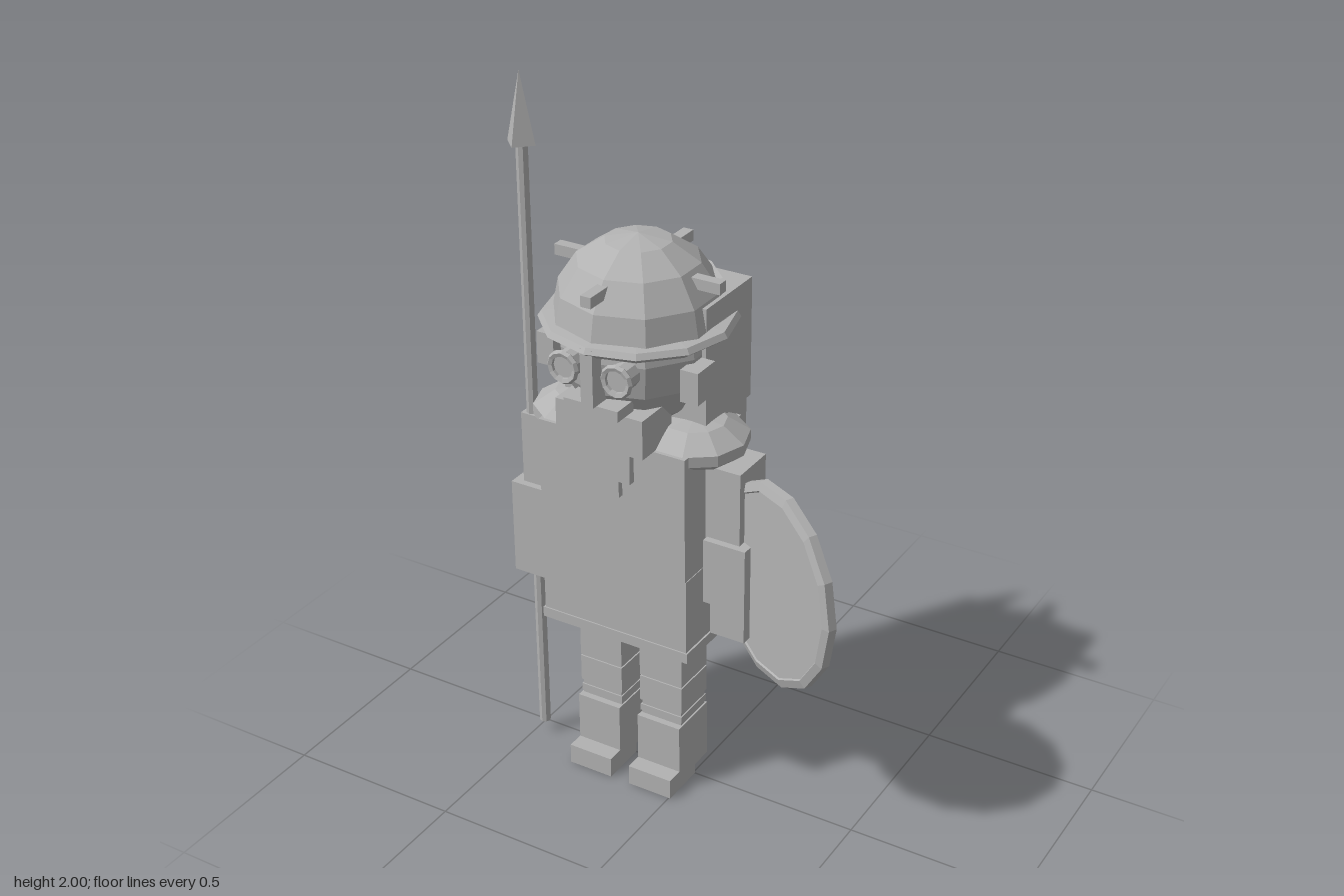
import * as THREE from 'three';

const grey = new THREE.MeshStandardMaterial({ color: 0xb2b2b2, flatShading: true });
grey.name = 'stone grey';

export function createModel() {
  const model = new THREE.Group();
  model.name = 'spearGuard';
  const body = new THREE.Group();
  body.name = 'figure';
  body.position.x = -0.16;
  model.add(body);

  const add = (name, geo, x = 0, y = 0, z = 0) => {
    const m = new THREE.Mesh(geo, grey);
    m.name = name;
    m.position.set(x, y, z);
    body.add(m);
    return m;
  };
  // box given by its limits on each axis
  const box = (name, x0, x1, y0, y1, z0, z1) =>
    add(name, new THREE.BoxGeometry(x1 - x0, y1 - y0, z1 - z0), (x0 + x1) / 2, (y0 + y1) / 2, (z0 + z1) / 2);
  // the same box on the left and mirrored on the right
  const pair = (name, x0, x1, ...rest) => {
    box(name + 'Left', x0, x1, ...rest);
    box(name + 'Right', -x1, -x0, ...rest);
  };
  const lathe = (pts, sides, start = 0, sweep = Math.PI * 2) =>
    new THREE.LatheGeometry(pts.map(p => new THREE.Vector2(...p)), sides, start, sweep);

  // torso, skirt and hem
  box('torso', -0.222, 0.222, 0.73, 1.1, -0.14, 0.148);
  box('skirt', -0.224, 0.224, 0.51, 0.735, -0.132, 0.146);
  box('hem', -0.229, 0.229, 0.485, 0.515, -0.137, 0.15);

  // legs, wraps and boots
  pair('trouser', 0.03, 0.164, 0.335, 0.49, -0.065, 0.07);
  pair('shin', 0.034, 0.16, 0.19, 0.335, -0.06, 0.066);
  pair('upperWrap', 0.03, 0.164, 0.25, 0.33, -0.065, 0.07);
  pair('lowerWrap', 0.031, 0.163, 0.215, 0.235, -0.064, 0.07);
  pair('boot', 0.03, 0.165, 0.03, 0.205, -0.067, 0.085);
  pair('foot', 0.03, 0.165, 0, 0.06, 0, 0.135);

  // arms
  pair('upperArm', 0.235, 0.337, 0.65, 1.05, -0.068, 0.065);
  pair('sleeve', 0.24, 0.364, 0.65, 0.84, -0.05, 0.085);
  pair('hand', 0.262, 0.364, 0.56, 0.65, -0.03, 0.085);

  // shoulder guards
  for (const s of [1, -1]) {
    const guard = add(s > 0 ? 'shoulderGuardLeft' : 'shoulderGuardRight',
      lathe([[0, 1.05], [0.12, 1.05], [0.145, 1.07], [0.145, 1.1], [0.085, 1.14], [0, 1.15]], 10), s * 0.165, 0, 0);
    guard.rotation.y = Math.PI / 2;
  }

  // head, ears and hair
  const head = add('head', new THREE.SphereGeometry(0.214, 10, 8), 0, 1.345, 0.002);
  head.rotation.y = Math.PI / 2;
  head.scale.y = 1.14;
  box('neck', -0.1, 0.1, 1.08, 1.2, -0.1, 0.08);
  pair('ear', 0.19, 0.241, 1.245, 1.335, 0.03, 0.115);
  box('hair', -0.215, 0.215, 1.13, 1.47, -0.202, 0.03);
  box('hairEnds', -0.208, 0.208, 0.97, 1.13, -0.193, -0.06);

  // face
  for (const s of [1, -1]) {
    add('eyeRing', new THREE.TorusGeometry(0.038, 0.009, 5, 12), s * 0.079, 1.325, 0.235);
    const eye = add('eye', new THREE.CylinderGeometry(0.036, 0.036, 0.05, 10), s * 0.079, 1.325, 0.206);
    eye.rotation.x = Math.PI / 2;
  }
  box('noseGuard', -0.018, 0.018, 1.24, 1.4, 0.18, 0.25);
  box('moustache', -0.08, 0.08, 1.21, 1.24, 0.16, 0.235);

  // stepped beard
  box('beard', -0.13, 0.13, 1.1, 1.21, 0.06, 0.2);
  box('beardMiddle', -0.07, 0.07, 0.995, 1.1, 0.06, 0.168);
  box('beardTip', -0.034, 0.034, 0.945, 1.0, 0.06, 0.165);

  // helmet dome, brim, neck guard and studs
  const dome = add('helmetDome', new THREE.SphereGeometry(0.23, 10, 4, 0, Math.PI * 2, 0, Math.PI / 2), 0, 1.39, 0);
  dome.rotation.y = Math.PI / 2;
  add('helmetBrim', lathe([[0.2, 1.375], [0.235, 1.372], [0.26, 1.39], [0.25, 1.405], [0.2, 1.41], [0.2, 1.375]], 12));
  add('neckGuard', lathe([[0.2, 1.4], [0.24, 1.378], [0.262, 1.4], [0.212, 1.495], [0.19, 1.49], [0.2, 1.4]],
    4, Math.PI * 0.67, Math.PI * 0.66));
  pair('sideStud', 0.16, 0.245, 1.51, 1.54, -0.015, 0.015);
  box('frontStud', -0.015, 0.015, 1.51, 1.54, 0.16, 0.245);
  box('backStud', -0.015, 0.015, 1.51, 1.54, -0.245, -0.16);

  // spear
  add('spearShaft', new THREE.CylinderGeometry(0.016, 0.016, 1.78, 8), -0.313, 0.93, 0.045);
  add('spearHead', new THREE.ConeGeometry(0.043, 0.19, 4), -0.313, 1.905, 0.045);

  // oval shield with a bevelled rim, turned outward
  const shield = add('shield', lathe([[0, -0.015], [0.262, -0.015], [0.266, -0.019], [0.29, -0.012],
    [0.29, 0.012], [0.266, 0.019], [0.262, 0.015], [0, 0.015]], 14), 0.45, 0.768, 0.08);
  shield.geometry.rotateY(Math.PI / 2).rotateX(Math.PI / 2).scale(0.87, 1, 1);
  shield.rotation.y = -0.46;

  return model;
}
